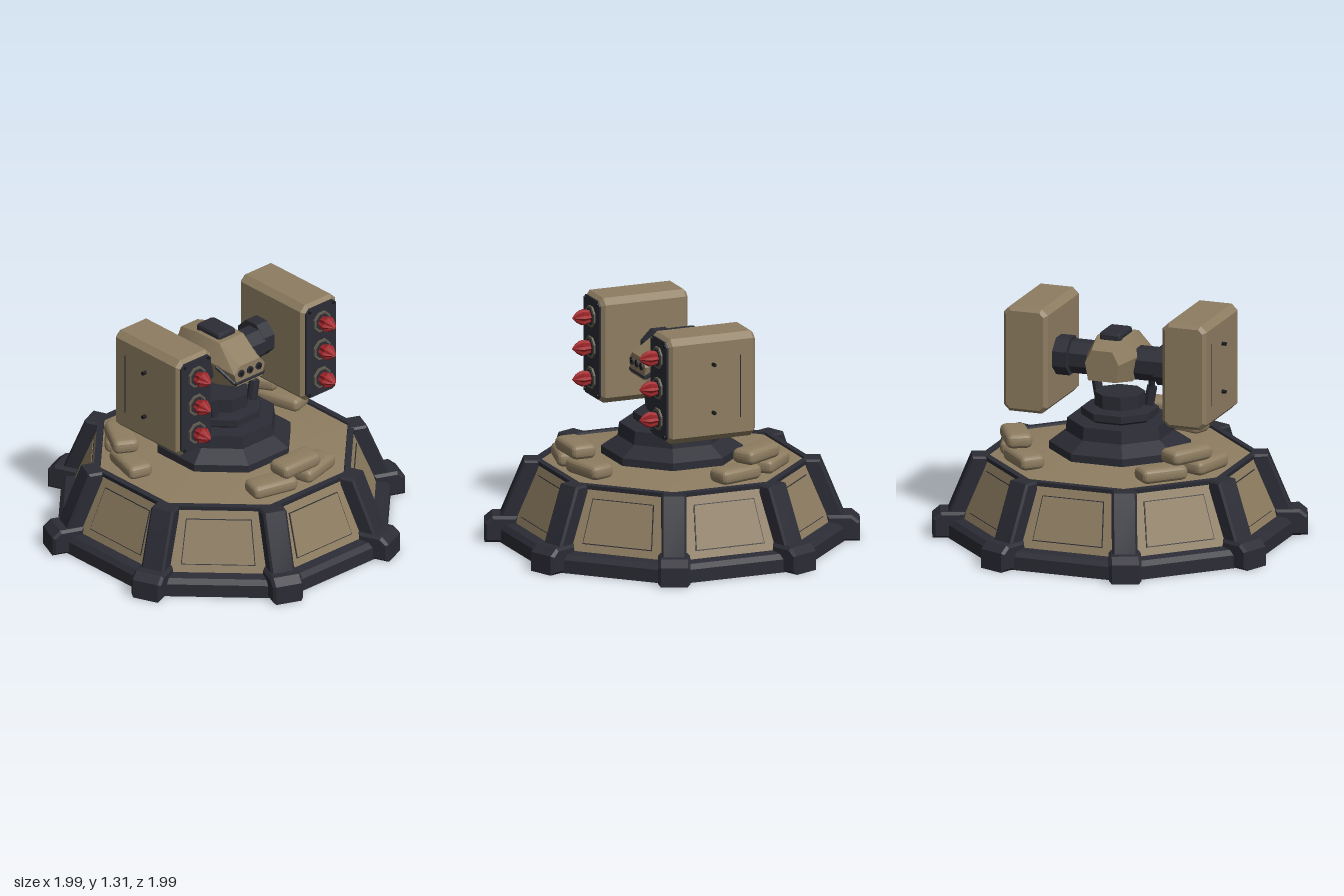
import * as THREE from 'three';
import { toCreasedNormals } from 'three/addons/utils/BufferGeometryUtils.js';
import { RoundedBoxGeometry } from 'three/addons/geometries/RoundedBoxGeometry.js';

const COS = Math.cos(Math.PI / 8);

export function createModel() {
  const mat = (name, color) => {
    const m = new THREE.MeshStandardMaterial({ color });
    m.name = name;
    return m;
  };
  const sand = mat('sand', 0x8e7d61);
  const dark = mat('darkSteel', 0x2b2c35);
  const red = mat('red', 0xa0262a);
  const grey = mat('grey', 0x625d50);
  const black = mat('black', 0x17181c);

  const model = new THREE.Group();
  model.name = 'missileTurret';

  const add = (parent, name, geo, material, x = 0, y = 0, z = 0) => {
    const mesh = new THREE.Mesh(toCreasedNormals(geo, 0.3), material);
    mesh.name = name;
    mesh.position.set(x, y, z);
    parent.add(mesh);
    return mesh;
  };
  const group = (parent, name, ry = 0) => {
    const g = new THREE.Group();
    g.name = name;
    g.rotation.y = ry;
    parent.add(g);
    return g;
  };
  const box = (w, h, d) => new THREE.BoxGeometry(w, h, d);
  // Octagonal solid with flats on the axes; points are [apothem, y]
  const octagon = (pts) => new THREE.LatheGeometry(
    pts.map(([r, y]) => new THREE.Vector2(r / COS, y)), 8, Math.PI / 8);
  const shape = (pts) => new THREE.Shape(pts.map(([x, y]) => new THREE.Vector2(x, y)));
  // Bevelled extrusion centred on z, its outer size equal to the outline
  const slab = (pts, depth, bevel = 0) => {
    const g = new THREE.ExtrudeGeometry(shape(pts), {
      depth: depth - 2 * bevel, bevelEnabled: bevel > 0, bevelSize: bevel,
      bevelThickness: bevel, bevelOffset: -bevel, bevelSegments: 1,
    });
    return g.translate(0, 0, bevel - depth / 2);
  };
  // Round bar between two points
  const bar = (parent, name, a, b, r, material) => {
    const p = new THREE.Vector3(...a), q = new THREE.Vector3(...b);
    const m = add(parent, name, new THREE.CylinderGeometry(r, r, p.distanceTo(q), 8), material);
    m.position.copy(p).add(q).multiplyScalar(0.5);
    m.quaternion.setFromUnitVectors(new THREE.Vector3(0, 1, 0), q.sub(p).normalize());
  };

  // Bunker base
  const base = group(model, 'base');
  add(base, 'skirt', octagon([[0, 0], [0.915, 0], [0.915, 0.075], [0.89, 0.102], [0.83, 0.112]]), dark);
  add(base, 'walls', octagon([[0.84, 0.1], [0.705, 0.45]]), sand);
  add(base, 'rim', octagon([[0.712, 0.438], [0.715, 0.462], [0.68, 0.464], [0.675, 0.445]]), dark);
  add(base, 'deck', octagon([[0.69, 0.45], [0.34, 0.495], [0, 0.495]]), sand);

  const footProfile = [[0.84, 0], [1.045, 0], [1.045, 0.11], [1.0, 0.148], [0.86, 0.148]];
  const pillarProfile = [[0.735, 0.464], [0.735, 0.38], [0.84, 0.09], [0.97, 0.09], [0.958, 0.14], [0.825, 0.464]];
  const trapezoid = (b, t, h) => [[-b, -h], [b, -h], [t, h], [-t, h]];
  for (let i = 0; i < 8; i++) {
    // Corner buttress
    const corner = group(base, 'buttress', (i + 0.5) * Math.PI / 4);
    add(corner, 'foot', slab(footProfile, 0.18, 0.015), dark);
    add(corner, 'pillar', slab(pillarProfile, 0.14, 0.012), dark);
    // Wall panel, tilted with the wall
    const side = group(base, 'wallPanel', i * Math.PI / 4);
    const tilt = group(side, 'panelTilt');
    tilt.position.set(0, 0.272, 0.774);
    tilt.rotation.x = -Math.atan2(0.135, 0.35);
    add(tilt, 'panelOutline', slab(trapezoid(0.208, 0.183, 0.129), 0.008), dark);
    add(tilt, 'panelPlate', slab(trapezoid(0.203, 0.178, 0.124), 0.009), sand, 0, 0, 0.003);
  }

  // Three sandbag stacks around the deck
  for (let i = 0; i < 3; i++) {
    const stack = group(model, 'sandbagStack', i * Math.PI * 2 / 3);
    const bag = (name, x, y, z, ry) => {
      add(stack, name, new RoundedBoxGeometry(0.28, 0.085, 0.15, 2, 0.036), sand, x, y, z).rotation.y = ry;
    };
    bag('lowerBag', -0.165, 0.503, 0.565, -0.25);
    bag('lowerBag', 0.15, 0.503, 0.565, 0.25);
    bag('upperBag', 0, 0.588, 0.585, 0);
  }

  // Rotating pedestal
  add(model, 'pedestal', octagon([[0.365, 0.45], [0.365, 0.535], [0.28, 0.595], [0.272, 0.67],
    [0.18, 0.675], [0.2, 0.69], [0.2, 0.73], [0.13, 0.742], [0.13, 0.82], [0, 0.82]]), dark);

  // Head lofted from sections: [z, half width, bottom, middle, top]
  const head = group(model, 'head');
  const sections = [
    [-0.285, 0.1, 0.95, 1.05, 1.125], [-0.12, 0.145, 0.92, 1.06, 1.165],
    [0.06, 0.145, 0.92, 1.06, 1.165], [0.21, 0.115, 0.955, 1.03, 1.075],
  ];
  const pos = [], idx = [], n = 6;
  sections.forEach(([z, w, y0, ym, y1]) => pos.push(0.82 * w, y0, z, w, ym, z, 0.62 * w, y1, z,
    -0.62 * w, y1, z, -w, ym, z, -0.82 * w, y0, z));
  for (let s = 0; s < sections.length - 1; s++) {
    for (let j = 0; j < n; j++) {
      const a = s * n + j, b = s * n + (j + 1) % n;
      idx.push(a, b, b + n, a, b + n, a + n);
    }
  }
  const last = (sections.length - 1) * n;
  for (let j = 1; j < n - 1; j++) idx.push(last, last + j, last + j + 1, 0, j + 1, j);
  const headGeo = new THREE.BufferGeometry();
  headGeo.setAttribute('position', new THREE.Float32BufferAttribute(pos, 3));
  headGeo.setIndex(idx);
  add(head, 'headShell', headGeo, sand);
  add(head, 'roofHatch', new RoundedBoxGeometry(0.13, 0.06, 0.19, 1, 0.015), dark, 0, 1.167, -0.065);
  for (const x of [-0.066, 0, 0.066]) {
    add(head, 'lensRing', new THREE.CylinderGeometry(0.022, 0.022, 0.016, 12).rotateX(Math.PI / 2), dark, x, 1.028, 0.21);
    add(head, 'lens', new THREE.CylinderGeometry(0.014, 0.014, 0.018, 12).rotateX(Math.PI / 2), black, x, 1.028, 0.211);
  }
  bar(head, 'chinBand', [-0.105, 0.972, 0.205], [0.105, 0.972, 0.205], 0.011, dark);

  // Fluted missile, pointing to +z
  const missileGeo = new THREE.LatheGeometry([[0, 0], [0.034, 0], [0.047, 0.055], [0.03, 0.085], [0, 0.115]]
    .map(([r, y]) => new THREE.Vector2(r, y)), 16);
  const mp = missileGeo.attributes.position;
  for (let i = 0; i < mp.count; i++) {
    const step = Math.round(Math.atan2(mp.getX(i), mp.getZ(i)) / (Math.PI / 8));
    const k = step % 2 ? 0.78 : 1;
    mp.setXYZ(i, mp.getX(i) * k, mp.getY(i), mp.getZ(i) * k);
  }
  missileGeo.rotateX(Math.PI / 2);
  const octDisc = (r, d) => new THREE.CylinderGeometry(r, r, d, 8).rotateY(Math.PI / 8).rotateX(Math.PI / 2);
  const chamfered = (w, h, c) => [[-w + c, -h], [w - c, -h], [w, -h + c], [w, h - c],
    [w - c, h], [-w + c, h], [-w, h - c], [-w, -h + c]];

  for (const s of [1, -1]) {
    // Arm, cheek band and support strut
    const axle = (r, len) => new THREE.CylinderGeometry(r / COS, r / COS, len, 8).rotateY(Math.PI / 8).rotateZ(Math.PI / 2);
    add(model, 'innerArm', axle(0.09, 0.16), dark, s * 0.185, 1.008, -0.035);
    add(model, 'outerArm', axle(0.105, 0.09), dark, s * 0.305, 1.015, -0.06);
    bar(head, 'cheekBand', [s * 0.105, 0.972, 0.205], [s * 0.142, 1.05, 0.09], 0.012, dark);
    bar(model, 'strutSleeve', [s * 0.145, 0.735, 0.07], [s * 0.165, 0.845, 0.07], 0.03, dark);
    bar(model, 'strutRod', [s * 0.16, 0.82, 0.07], [s * 0.182, 0.94, 0.03], 0.019, dark);

    // Launcher pod
    const pod = group(model, 'launcherPod');
    pod.position.set(s * 0.473, 1.013, 0);
    add(pod, 'podShell', slab(chamfered(0.131, 0.302, 0.035), 0.525, 0.02), sand, 0, 0, 0.012);
    add(pod, 'podFace', slab(chamfered(0.112, 0.282, 0.025), 0.04), dark, 0, 0, 0.265);
    for (const y of [-0.177, 0, 0.177]) {
      add(pod, 'tubeRing', octDisc(0.064, 0.02), grey, 0, y, 0.286);
      add(pod, 'tubeBore', octDisc(0.051, 0.022), dark, 0, y, 0.287);
      add(pod, 'missile', missileGeo, red, 0, y, 0.288);
    }
    // Face corner screws
    for (const x of [-0.09, 0.09]) for (const y of [-0.262, 0.262]) {
      add(pod, 'faceScrew', octDisc(0.009, 0.01), black, x, y, 0.287);
    }
    // Outer side seam and bolts
    add(pod, 'sideSeam', box(0.004, 0.36, 0.006), dark, s * 0.131, 0, -0.155);
    for (const y of [-0.137, 0.14]) {
      add(pod, 'sideBolt', new THREE.CylinderGeometry(0.011, 0.011, 0.026, 8).rotateZ(Math.PI / 2), black, s * 0.142, y, 0.01);
    }
  }
  return model;
}
